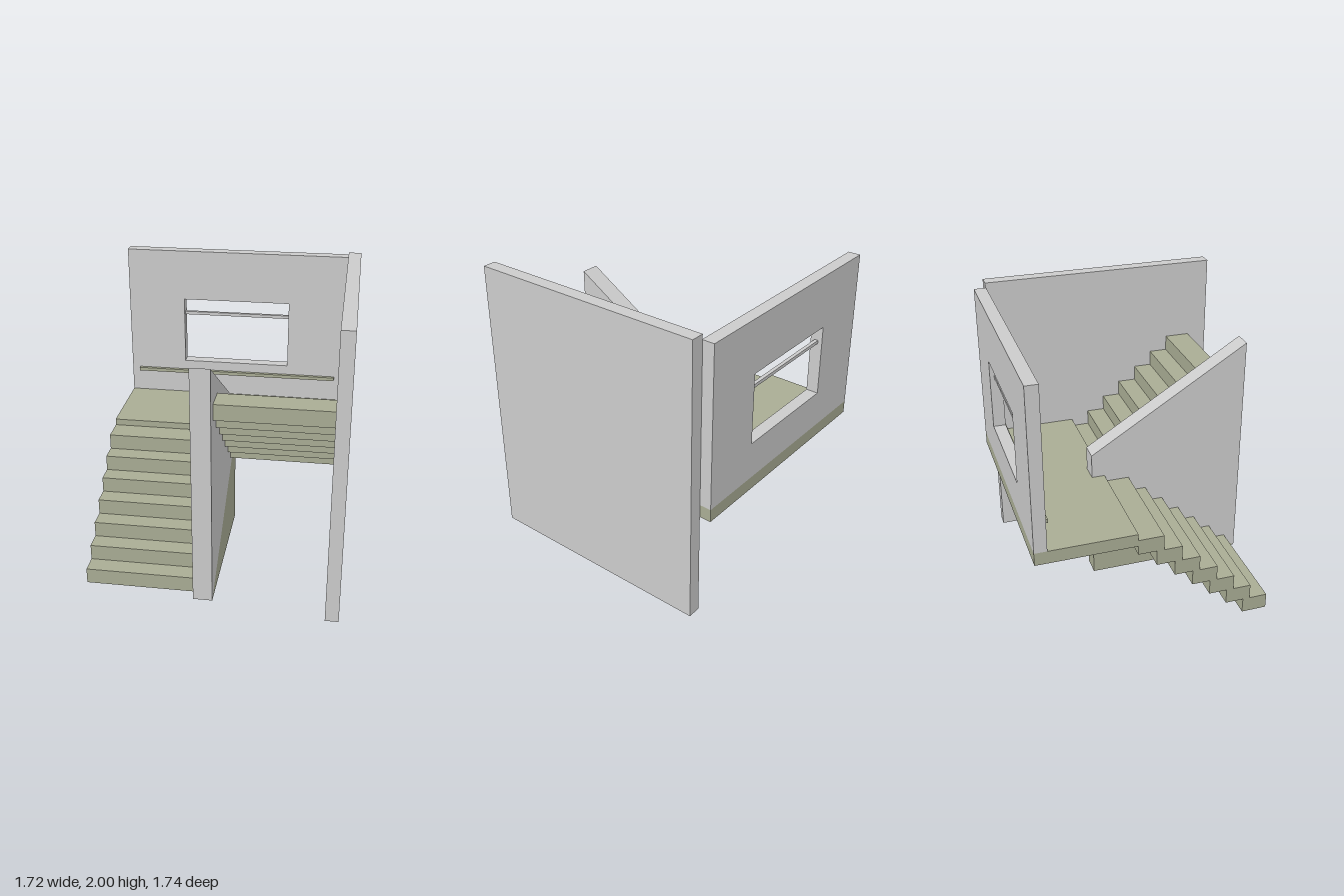
import * as THREE from 'three';

export function createModel() {
  const model = new THREE.Group();
  const plaster = new THREE.MeshStandardMaterial({ color: 0xcccccc, flatShading: true });
  const concrete = new THREE.MeshStandardMaterial({ color: 0xa9ac94, flatShading: true });

  const add = (name, geometry, material, parent = model) => {
    const mesh = new THREE.Mesh(geometry, material);
    mesh.name = name;
    parent.add(mesh);
    return mesh;
  };

  // Box given by its low and high limits on each axis
  const box = (name, [x0, x1], [y0, y1], [z0, z1], material, parent) => {
    const g = new THREE.BoxGeometry(x1 - x0, y1 - y0, z1 - z0);
    g.translate((x0 + x1) / 2, (y0 + y1) / 2, (z0 + z1) / 2);
    return add(name, g, material, parent);
  };

  // Side wall and half landing
  box('sideWall', [0.77, 0.86], [0, 2], [-0.79, 0.87], plaster);
  box('landing', [-0.86, 0.77], [0.75, 0.84], [-0.87, -0.2], concrete);

  // Rear wall with window opening
  const rear = new THREE.Shape([
    [-0.86, 0.84], [0.77, 0.84], [0.77, 1.965], [-0.86, 1.965],
  ].map(p => new THREE.Vector2(...p)));
  rear.holes.push(new THREE.Path([
    [-0.44, 1.1], [-0.44, 1.595], [0.35, 1.595], [0.35, 1.1],
  ].map(p => new THREE.Vector2(...p))));
  const rearGeometry = new THREE.ExtrudeGeometry(rear, { depth: 0.085, bevelEnabled: false });
  rearGeometry.translate(0, 0, -0.87);
  add('rearWall', rearGeometry, plaster);
  box('windowBar', [-0.44, 0.35], [1.467, 1.49], [-0.84, -0.815], plaster);
  box('handrail', [-0.8, 0.71], [1.005, 1.03], [-0.785, -0.76], concrete);

  // Central wall between the flights: profiles are [z, y]
  const slab = (name, profile, material) => {
    const shape = new THREE.Shape(profile.map(p => new THREE.Vector2(...p)));
    const g = new THREE.ExtrudeGeometry(shape, { depth: 0.13, bevelEnabled: false });
    g.rotateY(-Math.PI / 2);
    g.translate(0.02, 0, 0);
    add(name, g, material);
  };
  slab('centralWallBase', [[0.815, 0.04], [-0.29, 0.75], [-0.29, 0.04]], concrete);
  slab('centralWallParapet', [[0.815, 0.04], [0.815, 1.7], [-0.29, 1.01], [-0.29, 0.75]], plaster);

  // Two flights of overlapping box steps
  const lower = new THREE.Group();
  lower.name = 'lowerFlight';
  const upper = new THREE.Group();
  upper.name = 'upperFlight';
  model.add(lower, upper);
  const rise = 0.108, going = 0.126, depth = 0.175;
  for (let i = 0; i < 7; i++) {
    const yl = 0.038 + i * rise, zl = 0.73 - i * going;
    box('lowerStep', [-0.86, -0.11], [yl, yl + rise], [zl - depth, zl], concrete, lower);
    const yu = 0.677 + i * rise, zu = -0.2 + i * going;
    box('upperStep', [0.02, 0.77], [yu, yu + rise], [zu, zu + depth], concrete, upper);
  }
  return model;
}
